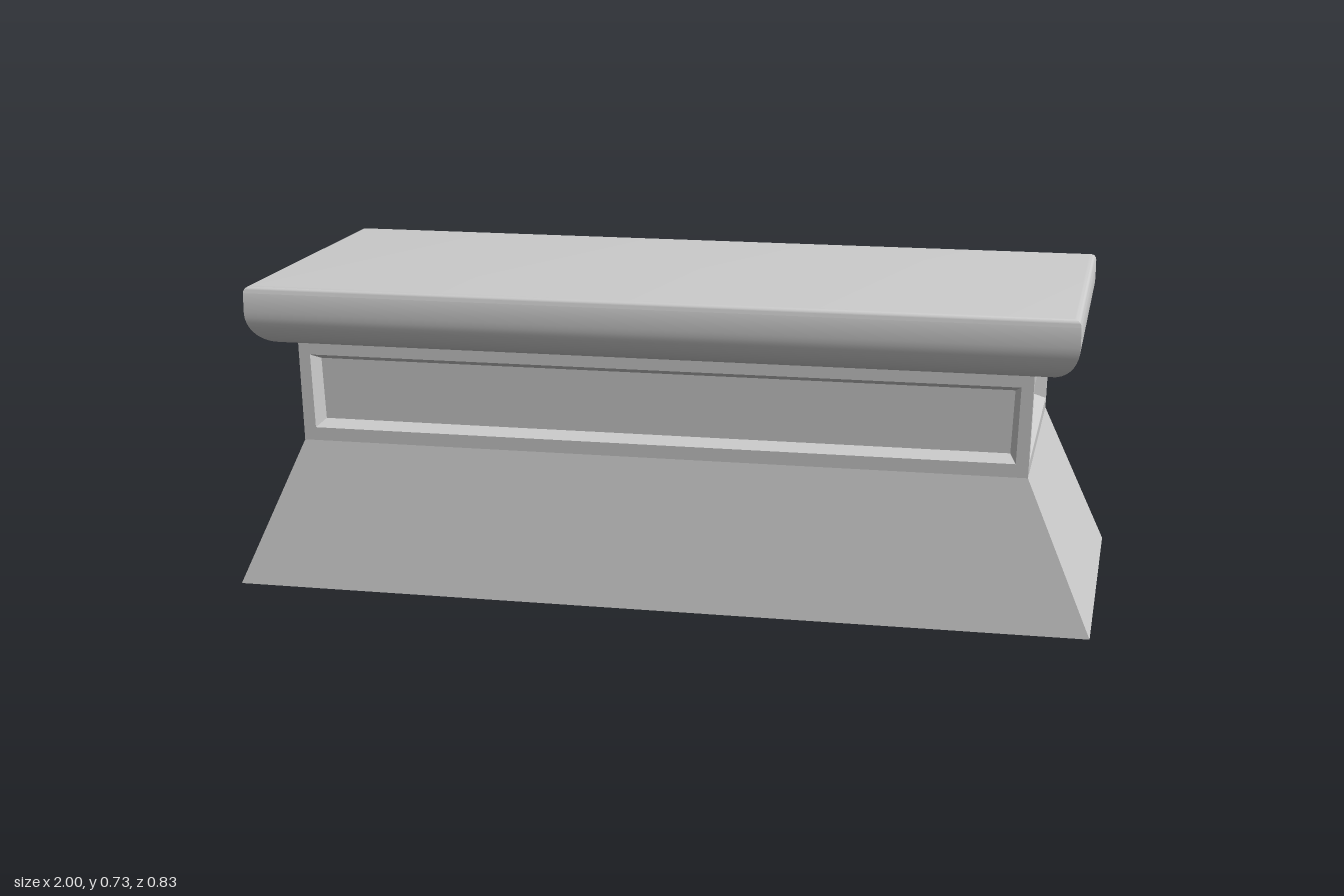
import * as THREE from 'three';
import { toCreasedNormals } from 'three/addons/utils/BufferGeometryUtils.js';

const material = new THREE.MeshStandardMaterial({ color: 0xcccccc, side: THREE.DoubleSide });

// Joins successive four-cornered loops with quads; optionally caps the last one.
function loft(loops, cap, crease = 0.3) {
  const points = [];
  const quad = (a, b, c, d) => points.push(...a, ...b, ...c, ...a, ...c, ...d);
  for (let i = 0; i + 1 < loops.length; i++) {
    for (let k = 0; k < 4; k++) {
      const n = (k + 1) % 4;
      quad(loops[i][k], loops[i][n], loops[i + 1][n], loops[i + 1][k]);
    }
  }
  if (cap) quad(...loops[loops.length - 1]);
  const geometry = new THREE.BufferGeometry();
  geometry.setAttribute('position', new THREE.Float32BufferAttribute(points, 3));
  return toCreasedNormals(geometry, crease);
}

// Horizontal rectangle, counter-clockwise seen from above.
const level = (x, z, y) => [[-x, y, z], [x, y, z], [x, y, -z], [-x, y, -z]];

// Upright rectangle facing +z, with its own half widths at bottom and top.
const upright = (w0, w1, y0, y1, z0, z1) =>
  [[-w0, y0, z0], [w0, y0, z0], [w1, y1, z1], [-w1, y1, z1]];

const NECK = { y0: 0.348, y1: 0.584, x0: 0.848, x1: 0.855, z0: 0.335, z1: 0.338 };

// Neck wall with a bevelled, recessed panel.
function neckWall(w0, w1, d0, d1) {
  const { y0, y1 } = NECK;
  const depthAt = y => d0 + (d1 - d0) * (y - y0) / (y1 - y0);
  const inset = 0.028, bevel = 0.015, recess = 0.035;
  const low = 0.379, high = 0.555;
  return loft([
    upright(w0, w1, y0, y1, d0, d1),
    upright(w0 - inset, w1 - inset, low, high, depthAt(low), depthAt(high)),
    upright(w0 - inset - bevel, w1 - inset - bevel, low + bevel, high - bevel,
      depthAt(low) - recess, depthAt(high) - recess),
  ], true);
}

export function createModel() {
  const model = new THREE.Group();
  model.name = 'pedestal';
  const add = (name, geometry, turn = 0) => {
    const mesh = new THREE.Mesh(geometry, material);
    mesh.name = name;
    mesh.rotation.y = turn;
    model.add(mesh);
  };

  // Flared base, open underneath
  add('flaredBase', loft([level(1, 0.394, 0), level(NECK.x0, NECK.z0, NECK.y0)], false));

  // Four panelled neck walls
  const longWall = neckWall(NECK.x0, NECK.x1, NECK.z0, NECK.z1);
  const shortWall = neckWall(NECK.z0, NECK.z1, NECK.x0, NECK.x1);
  add('frontPanel', longWall);
  add('backPanel', longWall, Math.PI);
  add('leftPanel', shortWall, Math.PI / 2);
  add('rightPanel', shortWall, -Math.PI / 2);

  // Slab with a deep rounded lower edge, a small upper edge and mitred corners
  const X = 0.955, Z = 0.415, bottom = 0.584, top = 0.727;
  const loops = [level(NECK.x1, NECK.z1, bottom)];
  const addArc = (rx, ry, cy, from, to, steps) => {
    for (let i = 0; i <= steps; i++) {
      const a = from + (to - from) * i / steps;
      const inward = rx * (1 - Math.cos(a));
      loops.push(level(X - inward, Z - inward, cy + ry * Math.sin(a)));
    }
  };
  addArc(0.075, 0.082, bottom + 0.082, -Math.PI / 2, 0, 10);
  addArc(0.016, 0.016, top - 0.016, 0, Math.PI / 2, 6);
  add('topSlab', loft(loops, true, 0.6));

  return model;
}
